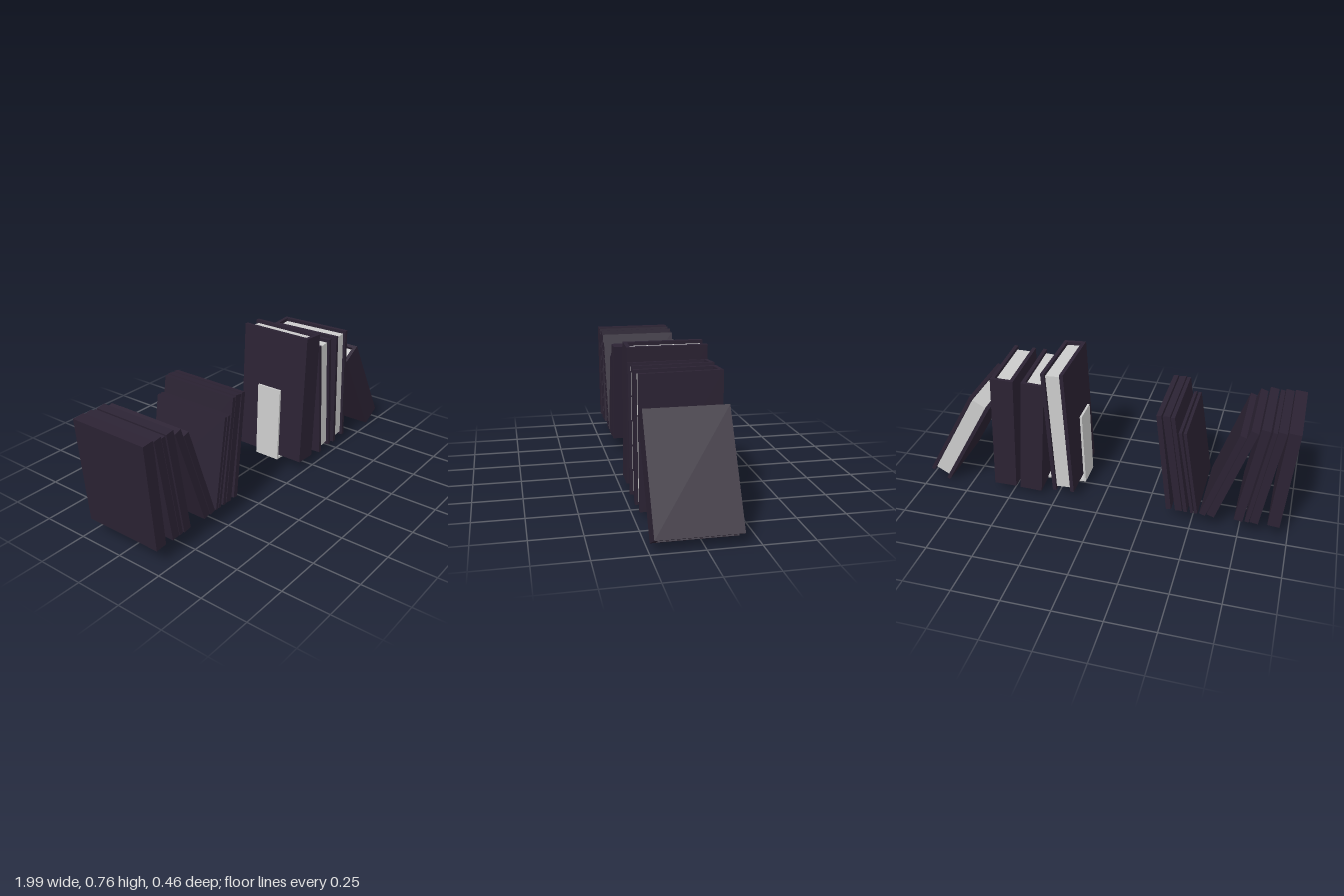
import * as THREE from 'three';

const coverMat = new THREE.MeshStandardMaterial({ color: 0x2b2233 });
const greyMat = new THREE.MeshStandardMaterial({ color: 0xcccccc });

function box(name, size, pos, mat) {
  const mesh = new THREE.Mesh(new THREE.BoxGeometry(...size), mat);
  mesh.name = name;
  mesh.position.set(...pos);
  return mesh;
}

// Places an object so that its local y axis runs from (x0, y0) to (x1, y1)
function lean(object, x0, y0, x1, y1, z) {
  object.position.set((x0 + x1) / 2, (y0 + y1) / 2, z);
  object.rotation.z = Math.atan2(x0 - x1, y1 - y0);
  return object;
}

// Hardback: two boards, a spine on +z and an inset page block
function hardback(w, h, d) {
  const t = 0.02, book = new THREE.Group();
  for (const s of [-1, 1]) {
    book.add(box('coverBoard', [t, h, d], [s * (w - t) / 2, 0, 0], coverMat));
  }
  book.add(box('spine', [w - 2 * t, h, t], [0, 0, (d - t) / 2], coverMat));
  book.add(box('pages', [w - 2 * t, h - 0.035, d - t - 0.015], [0, 0, -0.0025], greyMat));
  return book;
}

export function createModel() {
  const model = new THREE.Group();
  model.name = 'books';

  // Slim volumes: bottom x, top x, top y, thickness
  const slim = [
    [-0.925, -0.969, 0.648, 0.062], [-0.826, -0.912, 0.646, 0.043],
    [-0.790, -0.876, 0.640, 0.022], [-0.746, -0.834, 0.646, 0.045],
    [-0.604, -0.783, 0.628, 0.040], [-0.561, -0.730, 0.595, 0.033],
    [-0.529, -0.449, 0.565, 0.016], [-0.508, -0.425, 0.565, 0.016],
    [-0.473, -0.385, 0.645, 0.020], [-0.4385, -0.353, 0.648, 0.037],
    [-0.385, -0.3155, 0.647, 0.026],
  ];
  for (const [x0, x1, y1, w] of slim) {
    const h = Math.hypot(x1 - x0, y1 - 0.092);
    const book = box('slimBook', [w, h, 0.433], [0, 0, 0], coverMat);
    model.add(lean(book, x0, 0.092, x1, y1, -0.0135));
  }

  // Hardbacks: bottom x, y, top x, y, thickness, turn about own axis
  const hardbacks = [
    ['tallBook', 0.2086, 0.053, 0.249, 0.763, 0.12, 0],
    ['reversedBook', 0.405, 0.032, 0.363, 0.69, 0.123, Math.PI + 0.043],
    ['reversedBook', 0.553, 0.036, 0.531, 0.692, 0.123, Math.PI + 0.043],
    ['leaningBook', 0.939, 0.032, 0.66, 0.535, 0.122, 0],
  ];
  for (const [name, x0, y0, x1, y1, w, turn] of hardbacks) {
    const book = hardback(w, Math.hypot(x1 - x0, y1 - y0), 0.403);
    book.rotation.y = turn;
    const holder = new THREE.Group();
    holder.name = name;
    holder.add(book);
    model.add(lean(holder, x0, y0, x1, y1, turn ? 0.025 : 0.0275));
  }

  // Thin angled bookend holding the tall book
  const bookend = new THREE.Group();
  bookend.name = 'bookend';
  bookend.add(lean(box('upright', [0.012, 0.41, 0.145], [0, 0, 0], greyMat), 0.125, 0.048, 0.141, 0.458, 0.027));
  bookend.add(lean(box('foot', [0.012, 0.23, 0.145], [0, 0, 0], greyMat), 0.12, 0.049, 0.349, 0.035, 0.027));
  model.add(bookend);

  return model;
}
